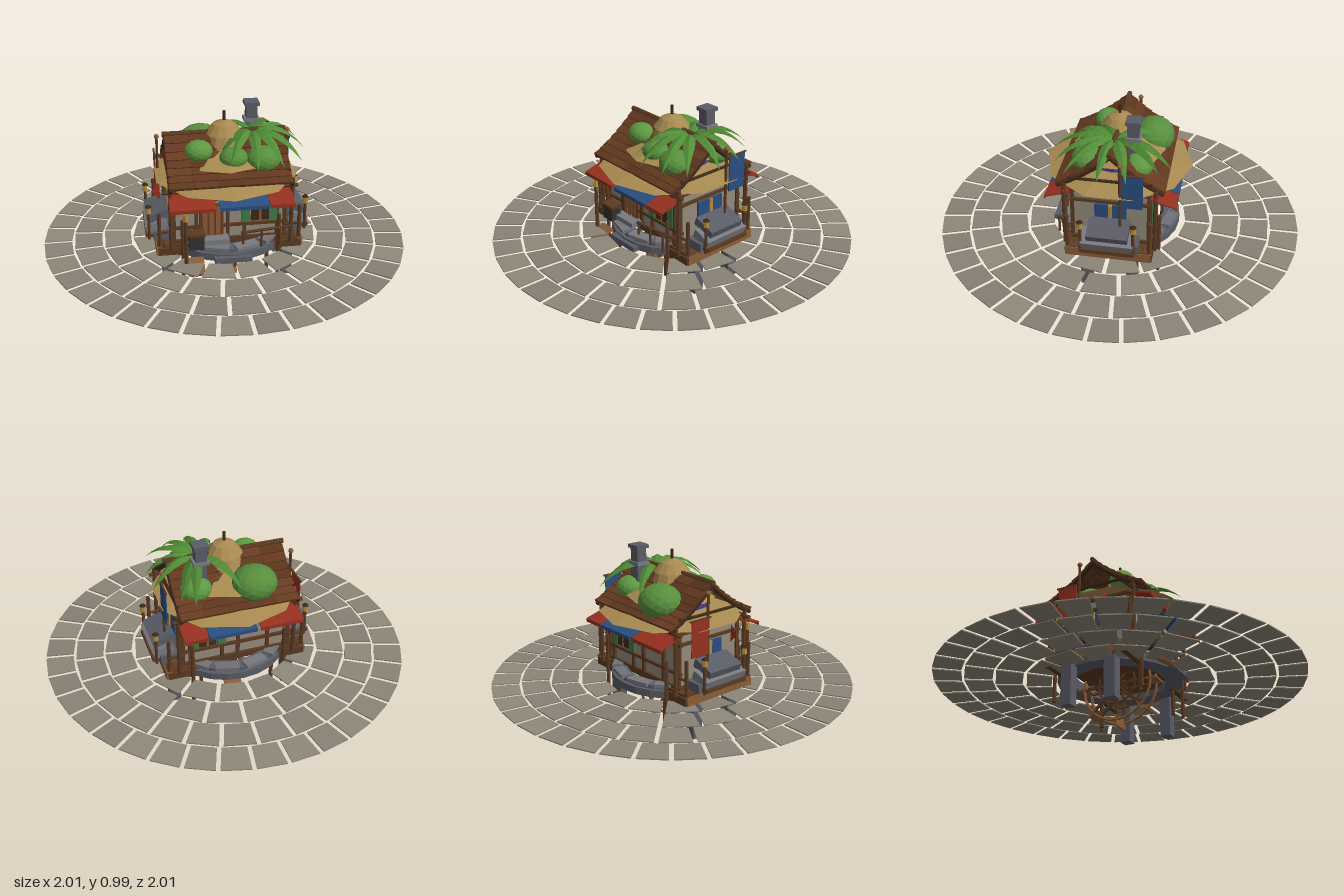
import * as THREE from 'three';
import { ParametricGeometry } from 'three/addons/geometries/ParametricGeometry.js';

const WOOD = 0x5a3a22, DARK = 0x3d2818, LIGHT = 0x8a5c36, STONE = 0x5a5c66, PALE = 0x787a80,
  WALL = 0x938a7a, STRAW = 0xa88a50, RED = 0x96301f, BLUE = 0x2a4d80, GREEN = 0x4f8a35, GOLD = 0xb58a35;

let seed = 7;
const rnd = () => (seed = (seed * 16807) % 2147483647) / 2147483647;
const mat = (color, shade = 1) => {
  const m = new THREE.MeshStandardMaterial({ color, flatShading: true, side: THREE.DoubleSide });
  m.color.multiplyScalar(shade);
  return m;
};

export function createModel() {
  const root = new THREE.Group();
  const group = (name, parent = root) => {
    const g = new THREE.Group();
    g.name = name;
    parent.add(g);
    return g;
  };
  const add = (parent, name, geo, color, x = 0, y = 0, z = 0, shade = 1) => {
    const m = new THREE.Mesh(geo, mat(color, shade));
    m.name = name;
    m.position.set(x, y, z);
    parent.add(m);
    return m;
  };
  const box = (p, name, color, w, h, d, x, y, z, shade) =>
    add(p, name, new THREE.BoxGeometry(w, h, d), color, x, y, z, shade);
  const cyl = (p, name, color, rt, rb, h, x, y, z, n = 8, open = false) =>
    add(p, name, new THREE.CylinderGeometry(rt, rb, h, n, 1, open), color, x, y, z);
  const rod = (p, name, color, a, b, r) => {
    const A = new THREE.Vector3(...a), B = new THREE.Vector3(...b);
    const m = cyl(p, name, color, r, r, A.distanceTo(B), 0, 0, 0, 6);
    m.position.copy(A).add(B).multiplyScalar(0.5);
    m.quaternion.setFromUnitVectors(new THREE.Vector3(0, 1, 0), B.sub(A).normalize());
    return m;
  };

  // Paved rings around the house
  const paving = group('paving');
  [[0.37, 0.505, 16, 0.5], [0.525, 0.67, 20, 0], [0.685, 0.835, 28, 0], [0.85, 1.0, 36, 0.5]].forEach(([r0, r1, n, off]) => {
    const h0 = Math.PI * r0 / n - 0.011, h1 = Math.PI * r1 / n - 0.011;
    const s = new THREE.Shape([new THREE.Vector2(-h0, r0), new THREE.Vector2(h0, r0),
      new THREE.Vector2(h1, r1), new THREE.Vector2(-h1, r1)]);
    const geo = new THREE.ExtrudeGeometry(s, { depth: 0.006, bevelEnabled: false }).rotateX(-Math.PI / 2);
    for (let i = 0; i < n; i++)
      add(paving, 'pavingStone', geo, 0x8c8678, 0, 0.247, 0, 0.87 + rnd() * 0.2).rotation.y = (i + off) * 2 * Math.PI / n;
  });

  // Round stone foundation with an open middle
  const base = group('foundation');
  const ring = [[0.25, 0.25], [0.34, 0.25], [0.34, 0.29], [0.32, 0.29], [0.32, 0.31], [0.25, 0.31], [0.25, 0.25]];
  add(base, 'stoneRing', new THREE.LatheGeometry(ring.map(p => new THREE.Vector2(...p)), 24), STONE);
  for (let i = 0; i < 12; i++) {
    const a = (i + 0.5) * Math.PI / 6;
    box(base, 'copingStone', PALE, 0.13, 0.02, 0.06, Math.sin(a) * 0.3, 0.312, Math.cos(a) * 0.3, 0.85 + rnd() * 0.2).rotation.y = a;
  }
  box(base, 'floor', WOOD, 0.62, 0.025, 0.42, 0, 0.3, 0);
  box(base, 'doorStep', PALE, 0.16, 0.03, 0.07, -0.09, 0.335, 0.245);
  box(base, 'lowStep', STONE, 0.2, 0.03, 0.05, 0, 0.265, 0.335);
  box(base, 'ramp', LIGHT, 0.09, 0.012, 0.11, -0.2, 0.24, 0.35).rotation.x = 0.5;

  // Legs, side decks and side stone seats, mirrored left and right
  for (const s of [-1, 1]) {
    const side = group(s > 0 ? 'leftDeck' : 'rightDeck');
    for (const z of [-0.125, 0.125]) {
      box(side, 'stonePier', STONE, 0.06, 0.25, 0.06, s * 0.335, 0.155, z);
      box(side, 'pierCap', PALE, 0.07, 0.025, 0.07, s * 0.335, 0.27, z);
    }
    for (const z of [-0.255, -0.22, 0.22, 0.255])
      cyl(side, 'stilt', WOOD, 0.011, 0.011, Math.abs(z) > 0.24 ? 0.37 : 0.2, s * (Math.abs(z) > 0.24 ? 0.26 : 0.205),
        Math.abs(z) > 0.24 ? 0.285 : 0.2, z, 6);
    for (let i = 0; i < 5; i++)
      box(side, 'deckPlank', WOOD, 0.038, 0.025, 0.45, s * (0.215 + i * 0.04), 0.298, 0, 0.9 + rnd() * 0.3);
    for (const z of [-0.22, 0.22]) {
      box(side, 'deckBeam', WOOD, 0.2, 0.05, 0.03, s * 0.29, 0.27, z);
      cyl(side, 'deckPost', WOOD, 0.011, 0.011, 0.2, s * 0.38, 0.4, z, 6);
      rod(side, 'handrail', WOOD, [s * 0.3, 0.39, z], [s * 0.39, 0.39, z], 0.008);
    }
    box(side, 'edgeBeam', LIGHT, 0.03, 0.05, 0.46, s * 0.385, 0.28, 0);
    box(side, 'seatBase', STONE, 0.1, 0.05, 0.32, s * 0.36, 0.335, 0);
    box(side, 'seatBlock', PALE, 0.11, 0.05, 0.28, s * 0.39, 0.375, 0).rotation.z = -s * 0.35;
    box(side, 'seatBack', STONE, 0.13, 0.045, 0.22, s * 0.375, 0.425, 0).rotation.z = -s * 0.35;
    box(side, 'seatFoot', WOOD, 0.06, 0.02, 0.28, s * 0.42, 0.33, 0);
    for (const z of [-0.14, 0.14]) {
      cyl(side, 'lampPost', WOOD, 0.009, 0.009, 0.18, s * 0.43, 0.4, z, 6);
      cyl(side, 'lamp', GOLD, 0.012, 0.016, 0.035, s * 0.43, 0.485, z, 6);
      cyl(side, 'lampCap', DARK, 0.003, 0.02, 0.015, s * 0.43, 0.51, z, 6);
    }
    // Side window with an ornament in the middle
    box(side, 'sideWindow', BLUE, 0.012, 0.11, 0.17, s * 0.305, 0.485, 0);
    box(side, 'windowBar', GOLD, 0.02, 0.11, 0.02, s * 0.31, 0.485, 0);
    box(side, 'windowSill', WOOD, 0.03, 0.018, 0.2, s * 0.31, 0.42, 0);
    // Flag pole and hanging banner
    cyl(side, 'flagPole', WOOD, 0.008, 0.008, 0.52, s * 0.36, 0.56, -0.06, 6);
    add(side, 'poleKnob', new THREE.IcosahedronGeometry(0.014, 1), LIGHT, s * 0.36, 0.825, -0.06);
    const by = s > 0 ? 0.68 : 0.6;
    box(side, 'banner', s > 0 ? BLUE : RED, 0.006, 0.2, 0.11, s * 0.372, by, -0.125);
    rod(side, 'bannerBar', WOOD, [s * 0.372, by + 0.1, -0.05], [s * 0.372, by + 0.1, -0.19], 0.006);
  }
  const tri = new THREE.Shape([new THREE.Vector2(0, 0.05), new THREE.Vector2(-0.045, 0), new THREE.Vector2(0, -0.05)]);
  add(root, 'pennant', new THREE.ShapeGeometry(tri), RED, -0.365, 0.575, 0.1);

  // Water wheel below the floor
  const wheel = group('waterWheel');
  wheel.position.y = 0.235;
  for (const x of [-0.04, 0.04]) {
    add(wheel, 'wheelRim', new THREE.TorusGeometry(0.2, 0.008, 5, 24).rotateY(Math.PI / 2), LIGHT, x);
    add(wheel, 'innerRim', new THREE.TorusGeometry(0.11, 0.006, 5, 16).rotateY(Math.PI / 2), WOOD, x);
  }
  rod(wheel, 'axle', DARK, [-0.12, 0, 0], [0.12, 0, 0], 0.016);
  for (let i = 0; i < 8; i++) {
    const spoke = group('spoke', wheel);
    spoke.rotation.x = i * Math.PI / 4;
    for (const x of [-0.04, 0.04]) box(spoke, 'spokeBar', WOOD, 0.012, 0.19, 0.014, x, -0.1, 0);
    box(spoke, 'paddle', LIGHT, 0.1, 0.06, 0.01, 0, -0.205, 0);
  }

  // Walls and timber frame
  const house = group('house');
  box(house, 'walls', WALL, 0.6, 0.32, 0.4, 0, 0.465, 0);
  for (const z of [-0.205, 0.205]) {
    for (const y of [0.32, 0.4, 0.56, 0.62]) box(house, 'wallBeam', WOOD, 0.64, 0.016, 0.02, 0, y, z);
    for (const x of [-0.3, -0.18, -0.01, 0.08, 0.26, 0.3]) box(house, 'wallPost', WOOD, 0.018, 0.32, 0.02, x, 0.465, z);
    for (const x of [-0.32, 0.33]) cyl(house, 'eavePost', WOOD, 0.012, 0.012, 0.38, x, 0.48, z * 1.18, 6);
    rod(house, 'eaveBeam', WOOD, [-0.36, 0.63, z * 1.18], [0.36, 0.63, z * 1.18], 0.01);
  }
  for (const x of [-0.305, 0.305])
    for (const y of [0.32, 0.56, 0.62]) box(house, 'endBeam', WOOD, 0.018, 0.016, 0.42, x, y, 0);
  box(house, 'door', 0x6b3a1e, 0.13, 0.2, 0.02, -0.1, 0.43, 0.21);
  for (const x of [-0.135, -0.1, -0.065]) box(house, 'doorBoard', LIGHT, 0.025, 0.18, 0.012, x, 0.43, 0.218);
  for (const z of [-0.212, 0.212]) {
    box(house, 'windowPane', DARK, 0.1, 0.11, 0.01, 0.165, 0.475, z);
    box(house, 'windowCross', LIGHT, 0.012, 0.11, 0.016, 0.165, 0.475, z);
    for (const x of [0.085, 0.235]) box(house, 'shutter', 0x3c7a46, 0.045, 0.12, 0.016, x, 0.475, z);
  }
  // Porch rail, crate and lamp post
  for (const x of [0.06, 0.16, 0.26]) cyl(house, 'railPost', WOOD, 0.007, 0.007, 0.1, x, 0.35, 0.29, 6);
  rod(house, 'porchRail', WOOD, [0.05, 0.39, 0.29], [0.33, 0.39, 0.25], 0.008);
  box(house, 'crate', 0x33302f, 0.08, 0.08, 0.06, -0.19, 0.355, 0.28);
  box(house, 'crateLid', WOOD, 0.09, 0.015, 0.07, -0.19, 0.4, 0.28);
  cyl(house, 'porchPost', WOOD, 0.01, 0.012, 0.28, -0.25, 0.4, 0.34, 6);
  cyl(house, 'porchLamp', GOLD, 0.012, 0.016, 0.04, -0.25, 0.53, 0.34, 6);
  // Cloth awnings along both eaves
  for (const s of [-1, 1])
    [[-0.21, 0.24, RED], [0.06, 0.26, BLUE], [0.26, 0.13, RED]].forEach(([x, w, c]) => {
      box(house, 'awning', c, w, 0.008, 0.14, x, 0.59, s * 0.28).rotation.x = s * 0.28;
      box(house, 'awningTrim', c, w, 0.02, 0.005, x, 0.565, s * 0.347);
    });

  // Gable roof: curved slopes of overlapping planks
  const roof = group('roof');
  const roofY = z => 0.86 - 0.95 * z + 0.9 * z * z;
  const rows = 7, step = 0.28 / rows;
  for (const s of [-1, 1]) {
    for (let i = 0; i < rows; i++) {
      const z0 = i * step, z1 = z0 + step, dy = roofY(z0) - roofY(z1);
      for (let k = 0; k < 5; k++)
        box(roof, 'roofPlank', 0x63391f, 0.129, 0.013, Math.hypot(step, dy) + 0.014, -0.26 + k * 0.13,
          (roofY(z0) + roofY(z1)) / 2, s * (z0 + z1) / 2, 0.8 + rnd() * 0.3).rotation.x = s * (Math.atan2(dy, step) - 0.12);
    }
    for (const x of [-0.32, 0.32])
      for (let i = 0; i < 4; i++)
        rod(roof, 'rafter', DARK, [x, roofY(i * 0.07) - 0.018, s * i * 0.07], [x, roofY(i * 0.07 + 0.07) - 0.018, s * (i + 1) * 0.07], 0.011);
  }
  rod(roof, 'ridgeBeam', WOOD, [-0.335, 0.86, 0], [0.335, 0.86, 0], 0.014);
  rod(roof, 'tieBeam', DARK, [0.32, 0.7, -0.22], [0.32, 0.7, 0.22], 0.009);
  rod(roof, 'tieBeam', DARK, [-0.32, 0.7, -0.22], [-0.32, 0.7, 0.22], 0.009);

  // Straw canopy in tiers, with finial
  const canopy = group('canopy');
  cyl(canopy, 'lowerStraw', STRAW, 0.2, 0.4, 0.05, 0, 0.66, 0, 10, true);
  cyl(canopy, 'clothBand', 0x4a3a9a, 0.215, 0.215, 0.04, 0, 0.705, 0, 20, true);
  cyl(canopy, 'upperStraw', STRAW, 0.1, 0.25, 0.065, 0, 0.755, 0, 10, true);
  cyl(canopy, 'neck', STRAW, 0.085, 0.11, 0.08, 0, 0.82, 0, 10);
  cyl(canopy, 'capStraw', STRAW, 0.06, 0.1, 0.05, 0, 0.88, 0, 12);
  cyl(canopy, 'capTop', STRAW, 0.015, 0.06, 0.02, 0, 0.915, 0, 12);
  cyl(canopy, 'finial', DARK, 0.009, 0.009, 0.06, 0, 0.945, 0, 6);

  // Chimney
  const chimney = group('chimney');
  box(chimney, 'stack', STONE, 0.06, 0.26, 0.06, 0.165, 0.84, -0.1);
  box(chimney, 'collar', PALE, 0.085, 0.02, 0.075, 0.165, 0.885, -0.1);
  box(chimney, 'chimneyCap', STONE, 0.08, 0.02, 0.08, 0.165, 0.978, -0.1);

  // Round bushes on the roof
  const plants = group('plants');
  [[-0.11, 0.74, -0.17, 0.115], [-0.15, 0.79, 0.09, 0.07], [0.19, 0.745, 0.14, 0.085], [0.03, 0.76, 0.14, 0.07], [0.2, 0.74, -0.13, 0.08]]
    .forEach(([x, y, z, r]) => add(plants, 'bush', new THREE.IcosahedronGeometry(r, 2), 0x5c9440, x, y, z, 0.85 + rnd() * 0.3)
      .scale.set(1.1, 0.85, 1));

  // Arching palm leaves: [tip x, tip z] from a common crown
  [[0.25, -0.31], [0.31, -0.25], [0.42, -0.1], [0.43, 0.05], [0.38, 0.23], [0.27, 0.3], [0.13, 0.33], [0.0, 0.25], [-0.04, 0.13], [-0.02, -0.24]]
    .forEach(([tx, tz]) => {
      const cx = 0.15, cz = 0, L = Math.hypot(tx - cx, tz - cz), dx = (tx - cx) / L, dz = (tz - cz) / L;
      const leaf = (u, v, out) => {
        const s = v * 2 - 1, w = 0.032 * Math.sin(Math.PI * Math.pow(u, 0.8)) * s;
        out.set(cx + dx * L * u - dz * w, 0.85 + 0.2 * u - 0.29 * u * u - Math.abs(w) * 0.5, cz + dz * L * u + dx * w);
      };
      add(plants, 'palmLeaf', new ParametricGeometry(leaf, 7, 2), GREEN, 0, 0, 0, 0.75 + rnd() * 0.35);
    });

  return root;
}
